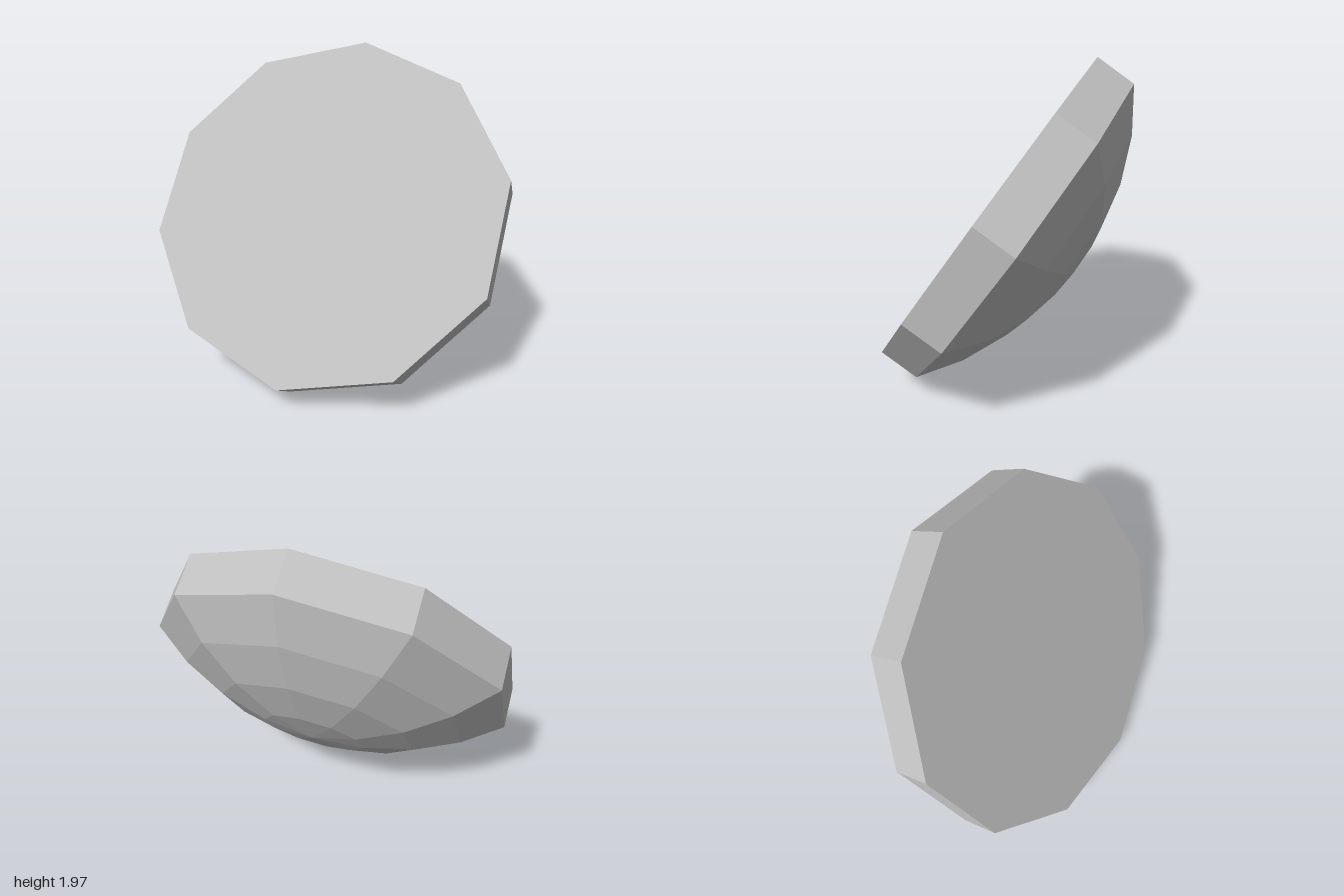
import * as THREE from 'three';

const SIDES = 10;
const RADIUS = 1.11;
const RIM = 0.252;
const DOME_DEPTH = 0.4;
const DOME_ANGLE = THREE.MathUtils.degToRad(44);
const DOME_RINGS = 4;

export function createModel() {
  const grey = new THREE.MeshStandardMaterial({ color: 0xbfbfbf, flatShading: true });
  grey.name = 'grey';

  const model = new THREE.Group();
  model.name = 'domedDisc';

  const addLathe = (name, points) => {
    const mesh = new THREE.Mesh(new THREE.LatheGeometry(points, SIDES), grey);
    mesh.name = name;
    model.add(mesh);
  };

  // flat ten-sided face, with its centre at the local origin
  addLathe('flatFace', [new THREE.Vector2(RADIUS, 0), new THREE.Vector2(0, 0)]);

  // straight rim behind the face
  addLathe('rim', [new THREE.Vector2(RADIUS, -RIM), new THREE.Vector2(RADIUS, 0)]);

  // shallow faceted dome, a slightly flattened spherical cap
  const dome = [];
  for (let i = 0; i <= DOME_RINGS; i++) {
    const a = DOME_ANGLE * i / DOME_RINGS;
    const depth = (Math.cos(a) - Math.cos(DOME_ANGLE)) / (1 - Math.cos(DOME_ANGLE));
    dome.push(new THREE.Vector2(
      RADIUS * Math.sin(a) / Math.sin(DOME_ANGLE),
      -RIM - DOME_DEPTH * depth
    ));
  }
  addLathe('dome', dome);

  // tilt the disc: local y is the face normal, local z points at one corner
  const normal = new THREE.Vector3(-0.623, 0.566, 0.539).normalize();
  const corner = new THREE.Vector3(0.825, 0.236, 0.707);
  const side = new THREE.Vector3().crossVectors(normal, corner).normalize();
  corner.crossVectors(side, normal);
  model.quaternion.setFromRotationMatrix(new THREE.Matrix4().makeBasis(side, normal, corner));
  model.position.set(-0.08, 1.064, 0.064);

  const root = new THREE.Group();
  root.name = 'model';
  root.add(model);
  return root;
}
